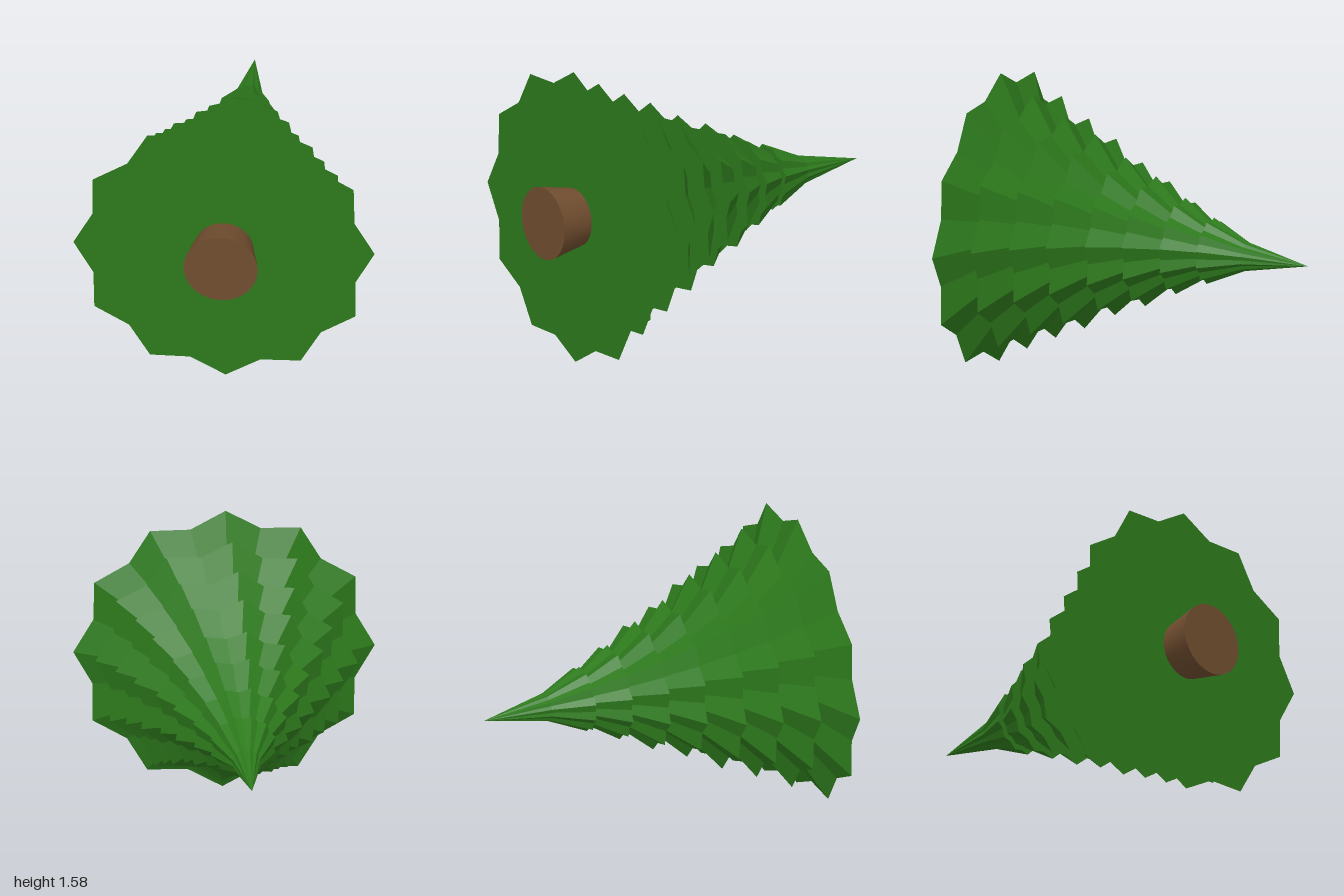
import * as THREE from 'three';

const CENTRE_Y = 0.793;
const POINTS = 12;
const VALLEY = 0.9; // valley radius relative to the tips

// Frustum along z (wide end towards +z) whose outline is a 12-pointed star
function starFrustum(zBase, zTop, rBase, rTop, twist) {
  const geo = new THREE.CylinderGeometry(rTop, rBase, zBase - zTop, POINTS * 2, 1);
  geo.rotateX(-Math.PI / 2);
  const pos = geo.attributes.position;
  for (let i = 0; i < pos.count; i++) {
    const x = pos.getX(i), y = pos.getY(i);
    const step = Math.round(Math.atan2(y, x) / (Math.PI / POINTS));
    if (step % 2 !== 0) pos.setXY(i, x * VALLEY, y * VALLEY);
  }
  geo.rotateZ(THREE.MathUtils.degToRad(twist));
  geo.translate(0, 0, (zBase + zTop) / 2);
  geo.computeVertexNormals();
  return geo;
}

export function createModel() {
  const tree = new THREE.Group();
  tree.name = 'firTree';
  const green = new THREE.MeshStandardMaterial({ color: 0x2d7a1c, flatShading: true });
  const brown = new THREE.MeshStandardMaterial({ color: 0x704d2f });

  // Trunk, flaring towards its foot
  const trunkGeo = new THREE.CylinderGeometry(0.155, 0.195, 0.2, 32);
  trunkGeo.rotateX(-Math.PI / 2);
  const trunk = new THREE.Mesh(trunkGeo, brown);
  trunk.name = 'trunk';
  trunk.position.z = 0.9;
  tree.add(trunk);

  // Branch tiers: [base z, base radius, top radius]; each ends at the next one's base
  const tiers = [
    [0.8, 0.79, 0.43], [0.625, 0.69, 0.4], [0.45, 0.6, 0.335], [0.275, 0.52, 0.29],
    [0.097, 0.42, 0.243], [-0.08, 0.345, 0.19], [-0.255, 0.255, 0.14], [-0.43, 0.175, 0.07],
  ];
  tiers.forEach(([z, rBase, rTop], i) => {
    const zTop = i < tiers.length - 1 ? tiers[i + 1][0] : -0.655;
    const tier = new THREE.Mesh(starFrustum(z, zTop, rBase, rTop, 0.6 + i * 2), green);
    tier.name = `branchTier${i + 1}`;
    tree.add(tier);
  });

  // Slender point at the crown
  const tip = new THREE.Mesh(starFrustum(-0.64, -1, 0.077, 0, 15), green);
  tip.name = 'crownTip';
  tree.add(tip);

  tree.children.forEach((part) => { part.position.y = CENTRE_Y; });
  return tree;
}
